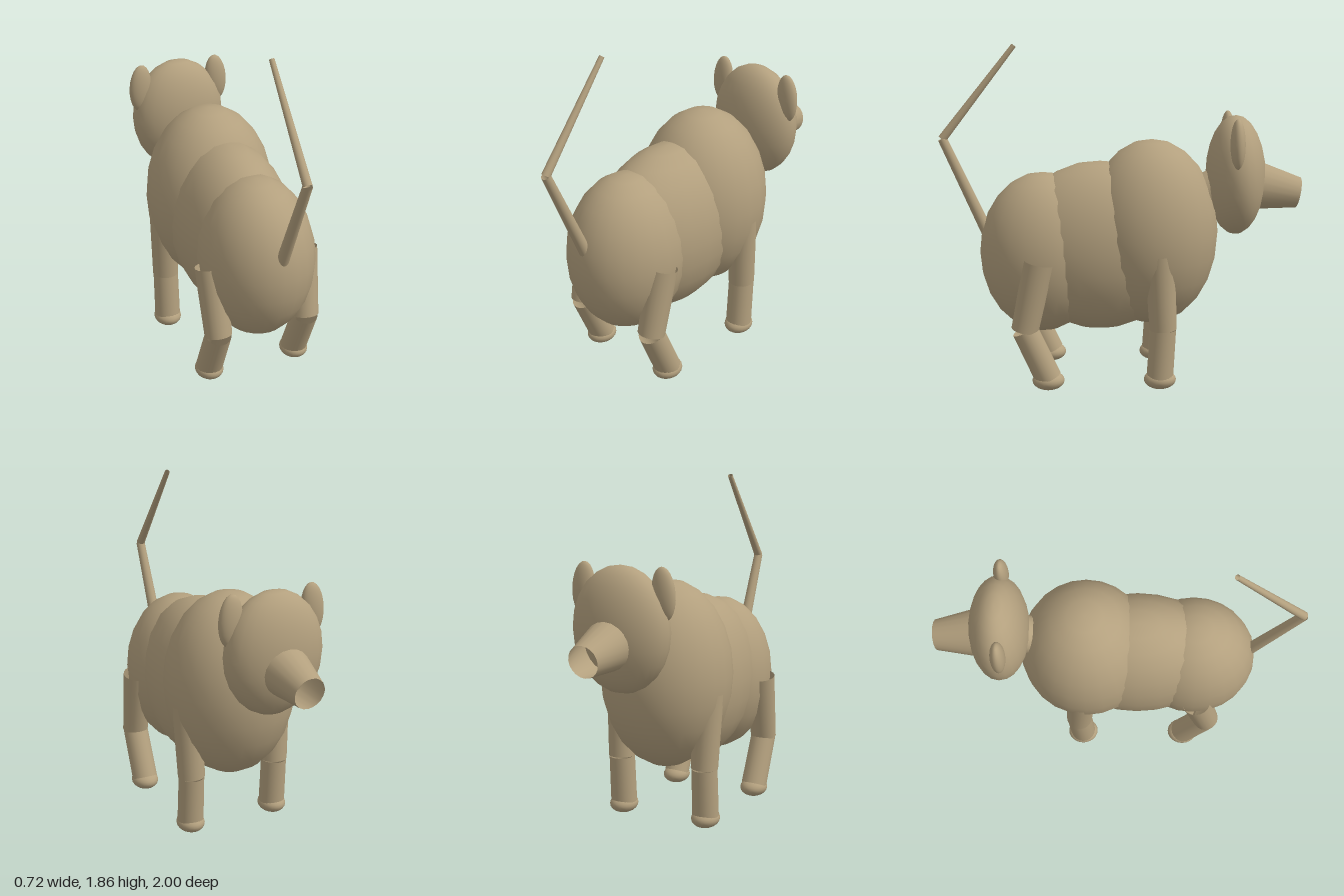
import * as THREE from 'three';

const fur = new THREE.MeshStandardMaterial({ color: 0xb3a07e });
fur.name = 'tanFur';
const openFur = fur; // one colour for the whole animal
openFur.side = THREE.DoubleSide;

const ball = new THREE.SphereGeometry(1, 24, 12);
const UP = new THREE.Vector3(0, 1, 0);

export function createModel() {
  const model = new THREE.Group();
  model.name = 'animal';

  function add(parent, geometry, name) {
    const mesh = new THREE.Mesh(geometry, fur);
    mesh.name = name;
    parent.add(mesh);
    return mesh;
  }

  // Ellipsoid from centre and radii
  function ellipsoid(name, centre, radii, parent = model) {
    const mesh = add(parent, ball, name);
    mesh.position.set(...centre);
    mesh.scale.set(...radii);
    return mesh;
  }

  // Open tapered tube running between two points
  function limb(name, from, to, r0, r1, parent = model) {
    const a = new THREE.Vector3(...from);
    const b = new THREE.Vector3(...to);
    const dir = b.clone().sub(a);
    const mesh = add(parent, new THREE.CylinderGeometry(r1, r0, dir.length(), 20, 1, true), name);
    mesh.position.copy(a).add(b).multiplyScalar(0.5);
    mesh.quaternion.setFromUnitVectors(UP, dir.normalize());
    return mesh;
  }

  // Trunk, with the head towards -z
  ellipsoid('rump', [0, 0.715, 0.432], [0.31, 0.447, 0.35]);
  ellipsoid('belly', [0, 0.75, 0.115], [0.315, 0.473, 0.5]);
  ellipsoid('chest', [0, 0.825, -0.17], [0.36, 0.517, 0.37]);

  // Neck, head and hollow muzzle
  limb('neck', [0, 0.95, -0.3], [0, 1.12, -0.6], 0.11, 0.1);
  ellipsoid('head', [0, 1.142, -0.633], [0.276, 0.33, 0.163]);
  limb('muzzle', [0, 1.087, -0.72], [0, 1.04, -0.984], 0.14, 0.085);

  // Tail in two segments
  limb('tailBase', [0, 0.77, 0.715], [0, 1.347, 0.975], 0.034, 0.025);
  limb('tailTip', [0, 1.347, 0.975], [0, 1.852, 0.578], 0.024, 0.014);

  // Ears and legs, mirrored
  for (const [side, s] of [['left', 1], ['right', -1]]) {
    const ear = ellipsoid(side + 'Ear', [s * 0.236, 1.338, -0.615], [0.065, 0.137, 0.04]);
    ear.rotation.z = s * 0.08;

    const legs = [
      ['FrontLeg', [0.27, 0.75, -0.2], [0.26, 0.337, -0.222], [0.26, 0.065, -0.206]],
      ['HindLeg', [0.271, 0.714, 0.447], [0.26, 0.337, 0.527], [0.26, 0.065, 0.403]],
    ];
    for (const [name, hip, knee, ankle] of legs) {
      const leg = new THREE.Group();
      leg.name = side + name;
      const at = ([x, y, z]) => [s * x, y, z];
      limb('upperLeg', at(hip), at(knee), 0.083, 0.074, leg);
      limb('lowerLeg', at(knee), at(ankle), 0.071, 0.073, leg);
      ellipsoid('foot', [s * ankle[0], 0.052, ankle[2]], [0.077, 0.052, 0.088], leg);
      model.add(leg);
    }
  }
  return model;
}
